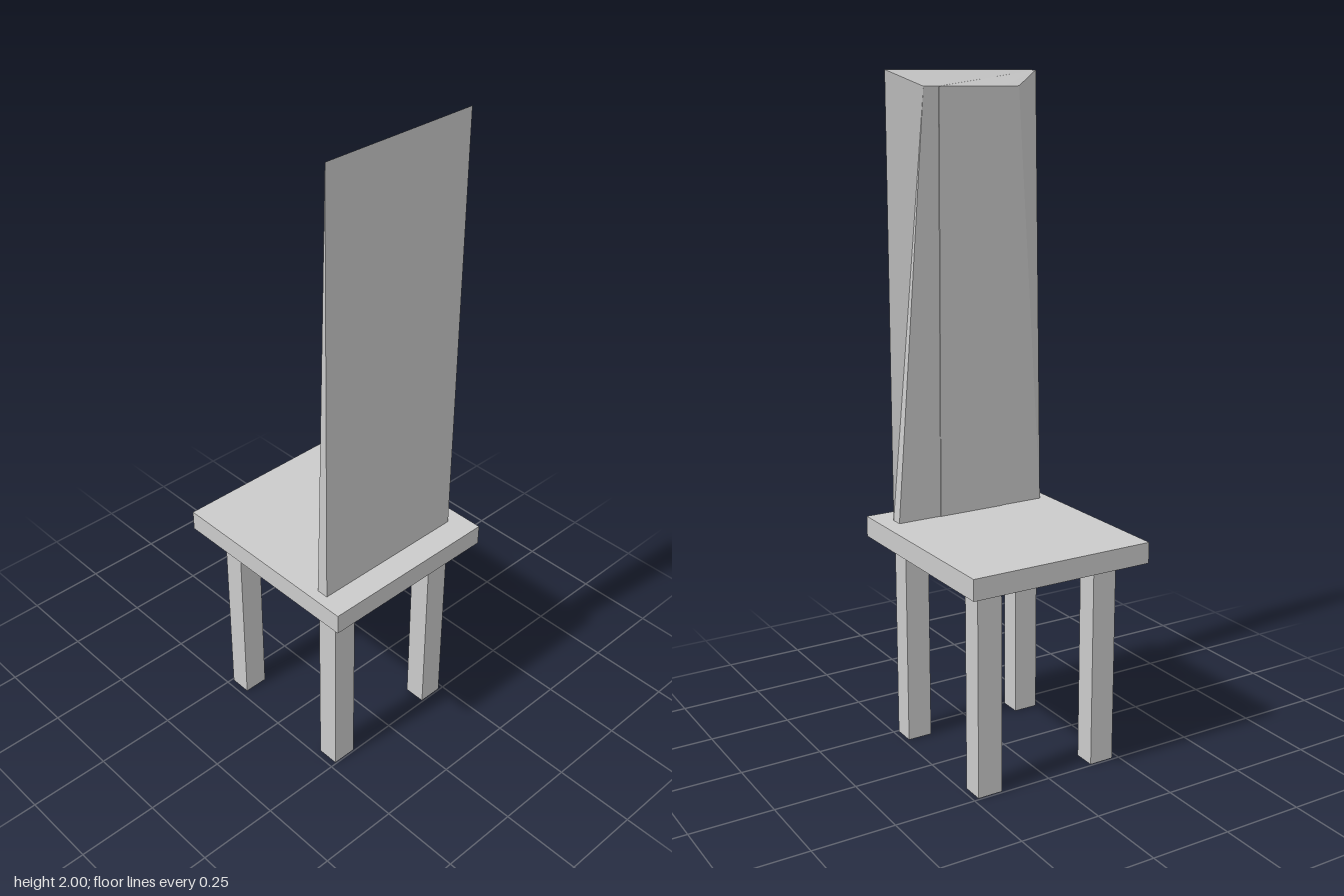
import * as THREE from 'three';

const material = new THREE.MeshStandardMaterial({ color: 0xcccccc, flatShading: true });

function box(name, w, h, d, x, y, z) {
  const mesh = new THREE.Mesh(new THREE.BoxGeometry(w, h, d), material);
  mesh.name = name;
  mesh.position.set(x, y, z);
  return mesh;
}

// Closed solid between two matching outlines, counter-clockwise from above
function loft(bottom, top) {
  const points = [];
  const n = bottom.length;
  for (let i = 0; i < n; i++) {
    const j = (i + 1) % n;
    points.push(bottom[i], bottom[j], top[j], bottom[i], top[j], top[i]);
  }
  for (let i = 1; i < n - 1; i++) {
    points.push(top[0], top[i], top[i + 1], bottom[0], bottom[i + 1], bottom[i]);
  }
  const geometry = new THREE.BufferGeometry();
  geometry.setAttribute('position', new THREE.Float32BufferAttribute(points.flat(), 3));
  geometry.computeVertexNormals();
  return geometry;
}

// Outline of the backrest: flat front, rear face with a barely raised panel
function backOutline(yFront, yRear, left, right, z) {
  const panel = z - 0.003;
  return [
    [-0.257, yFront, 0.24], [0.24, yFront, 0.24],
    [right, yRear, z], [0.1, yRear, z], [0.1, yRear, panel],
    [-0.115, yRear, panel], [-0.115, yRear, z], [left, yRear, z],
  ];
}

export function createModel() {
  const group = new THREE.Group();
  group.name = 'chair';

  // Seat slab
  group.add(box('seat', 0.58, 0.063, 0.64, 0, 0.661, 0));

  // Four square legs
  for (const [side, x] of [['Right', -0.191], ['Left', 0.195]]) {
    for (const [end, z] of [['front', 0.212], ['back', -0.21]]) {
      group.add(box(`${end}${side}Leg`, 0.077, 0.63, 0.068, x, 0.315, z));
    }
  }

  // Tall backrest, its rear face narrowing towards the bevelled top
  const back = new THREE.Mesh(loft(
    backOutline(0.69, 0.69, -0.257, 0.24, 0.203),
    backOutline(2, 1.955, -0.165, 0.148, 0.186),
  ), material);
  back.name = 'backrest';
  group.add(back);

  return group;
}
